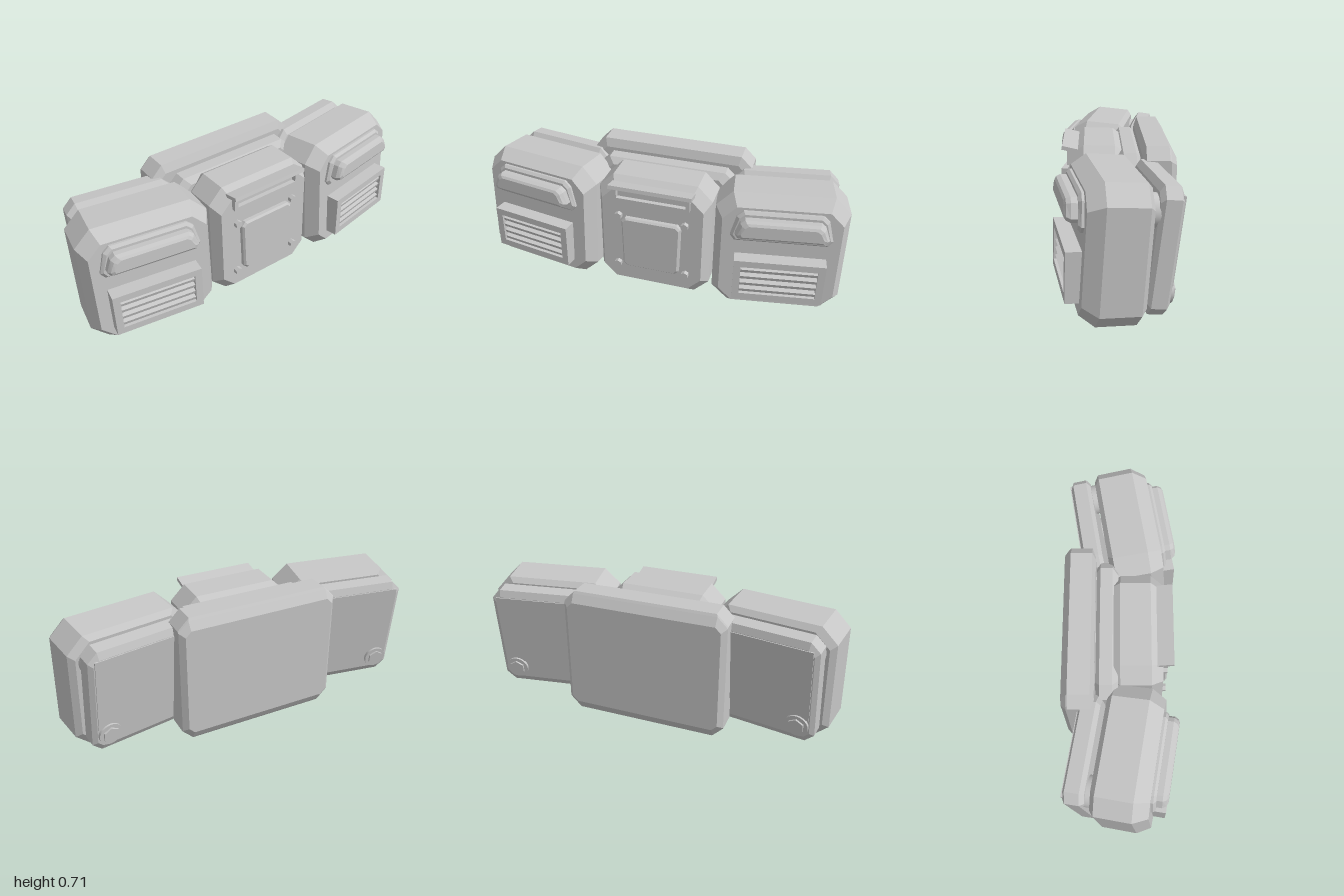
import * as THREE from 'three';

const grey = new THREE.MeshStandardMaterial({ color: 0xc6c6c6 });
grey.name = 'plain grey';

function part(name, geometry, parent, x = 0, y = 0, z = 0, rx = 0) {
  const mesh = new THREE.Mesh(geometry, grey);
  mesh.name = name;
  mesh.position.set(x, y, z);
  mesh.rotation.x = rx;
  parent.add(mesh);
  return mesh;
}

// Block with cut corners: sections run from back to front as
// [z, half width, half height, corner cut]; taper narrows the top
function block(sections, taper = 0) {
  const rings = sections.map(([z, w, h, c]) => [
    [w, c - h], [w, h - c], [w - c, h], [c - w, h],
    [-w, h - c], [-w, c - h], [c - w, -h], [w - c, -h],
  ].map(([x, y]) => [x * (1 - taper * (y / h + 1) / 2), y, z]));
  const out = [];
  const tri = (...p) => p.forEach((v) => out.push(...v));
  for (let k = 0; k < rings.length - 1; k++) {
    for (let i = 0; i < 8; i++) {
      const j = (i + 1) % 8, a = rings[k], b = rings[k + 1];
      tri(a[i], a[j], b[j]);
      tri(a[i], b[j], b[i]);
    }
  }
  const back = rings[0], front = rings[rings.length - 1];
  for (let i = 1; i < 7; i++) {
    tri(back[0], back[i + 1], back[i]);
    tri(front[0], front[i], front[i + 1]);
  }
  const g = new THREE.BufferGeometry();
  g.setAttribute('position', new THREE.Float32BufferAttribute(out, 3));
  g.computeVertexNormals();
  return g;
}

// Cylinder lying along z; six sides make a hex bolt
function disc(radius, depth, sides) {
  const g = new THREE.CylinderGeometry(radius, radius, depth, sides).rotateX(Math.PI / 2);
  if (sides > 8) return g;
  const flat = g.toNonIndexed();
  flat.computeVertexNormals();
  return flat;
}

// Rectangular frame with an opening
function frame(w, h, iw, ih, depth) {
  const rect = (p, a, b) => p.moveTo(-a, -b).lineTo(a, -b).lineTo(a, b).lineTo(-a, b).lineTo(-a, -b);
  const shape = rect(new THREE.Shape(), w, h);
  shape.holes.push(rect(new THREE.Path(), iw, ih));
  return new THREE.ExtrudeGeometry(shape, { depth, bevelEnabled: false });
}

// Group turned outward on side s, then tilted back
function turned(name, parent, s, x, y, z, yaw, pitch) {
  const g = new THREE.Group();
  g.name = name;
  g.position.set(s * x, y, z);
  g.rotation.set(pitch, s * yaw, 0, 'YXZ');
  parent.add(g);
  return g;
}

function buildSide(root, s) {
  const label = s > 0 ? 'left' : 'right';

  // Main side housing
  const pod = turned(label + 'Housing', root, s, 0.65, 0.347, 0.05, 0.165, -0.07);
  part('housingShell', block([
    [-0.145, 0.305, 0.305, 0.08], [-0.12, 0.335, 0.332, 0.085],
    [0.07, 0.338, 0.335, 0.085], [0.145, 0.30, 0.285, 0.07],
  ]), pod);

  // Lamp on its tapered plate
  part('lampPlate', block([
    [0.08, 0.265, 0.085, 0.03], [0.152, 0.265, 0.085, 0.03], [0.165, 0.25, 0.072, 0.025],
  ], 0.17), pod, 0, 0.188, 0.005);
  part('lamp', block([
    [0.13, 0.24, 0.052, 0.02], [0.205, 0.24, 0.052, 0.02],
    [0.225, 0.228, 0.044, 0.018], [0.233, 0.21, 0.032, 0.014],
  ], 0.16), pod, 0, 0.195, -0.005);

  // Louvred vent
  const vent = turned(label + 'Vent', root, s, 0.655, 0.25, 0.05, 0.165, -0.03);
  part('ventFrame', frame(0.232, 0.121, 0.195, 0.084, 0.12), vent, 0, 0, 0.1);
  part('ventBack', new THREE.BoxGeometry(0.4, 0.18, 0.01), vent, 0, 0, 0.152);
  for (let i = 0; i < 4; i++) {
    part('ventSlat', new THREE.BoxGeometry(0.39, 0.02, 0.055), vent, 0, -0.062 + i * 0.041, 0.183, 0.3);
  }

  // Rear panel with its mounts and outer bolt
  const rear = turned(label + 'RearPanel', root, s, 0.635, 0.352, -0.165, 0.165, -0.12);
  part('rearShell', block([
    [-0.055, 0.255, 0.265, 0.03], [-0.038, 0.278, 0.302, 0.05],
    [0.035, 0.278, 0.302, 0.05], [0.055, 0.262, 0.27, 0.04],
  ]), rear);
  part('rearCover', new THREE.BoxGeometry(0.5, 0.415, 0.008), rear, 0, 0.055, -0.056);
  part('rearBoltWasher', disc(0.062, 0.02, 24), rear, s * 0.19, -0.195, -0.06);
  part('rearBolt', disc(0.045, 0.03, 6), rear, s * 0.19, -0.195, -0.065);
  part('lowerMount', disc(0.075, 0.06, 24), rear, s * 0.17, -0.155, 0.055);
  part('upperMount', disc(0.08, 0.1, 24), rear, s * 0.19, 0.175, 0.06);
}

export function createModel() {
  const root = new THREE.Group();
  root.name = 'segmentedPack';

  // Centre housing
  const centre = turned('centreHousing', root, 1, 0, 0.347, 0.07, 0, -0.03);
  part('centreShell', block([
    [-0.11, 0.28, 0.31, 0.06], [-0.07, 0.308, 0.335, 0.08],
    [0.09, 0.308, 0.335, 0.08], [0.15, 0.275, 0.285, 0.07],
  ]), centre);

  // Raised centre plate and four corner bolts
  part('centrePlate', block([
    [0.13, 0.155, 0.155, 0.02], [0.17, 0.155, 0.155, 0.02], [0.18, 0.146, 0.146, 0.018],
  ], -0.05), centre, 0, -0.03);
  for (const s of [-1, 1]) {
    part('plateBolt', disc(0.021, 0.04, 6), centre, s * 0.182, 0.127, 0.155);
    part('plateBolt', disc(0.021, 0.04, 6), centre, s * 0.19, -0.185, 0.155);
    part('hoodPost', new THREE.BoxGeometry(0.02, 0.08, 0.08), centre, s * 0.197, 0.265, 0.135);
  }

  // Hood over the top slot
  part('hood', new THREE.BoxGeometry(0.445, 0.02, 0.13), centre, 0, 0.304, 0.14, -0.2);
  part('hoodSill', new THREE.BoxGeometry(0.41, 0.02, 0.08), centre, 0, 0.232, 0.135);

  // Spine joining the housings to the back pack
  part('spine', block([
    [-0.135, 0.365, 0.29, 0.06], [-0.115, 0.385, 0.312, 0.06],
    [-0.05, 0.385, 0.312, 0.06], [-0.02, 0.345, 0.28, 0.05],
  ]), root, 0, 0.352, 0);
  part('spineCore', new THREE.BoxGeometry(0.6, 0.5, 0.1), root, 0, 0.355, -0.15);

  // Back pack
  part('backPack', block([
    [-0.307, 0.42, 0.3, 0.03], [-0.28, 0.447, 0.345, 0.055], [-0.272, 0.447, 0.357, 0.06],
    [-0.158, 0.447, 0.357, 0.06], [-0.14, 0.415, 0.31, 0.04],
  ]), root, 0, 0.357, 0);

  for (const s of [-1, 1]) buildSide(root, s);
  return root;
}
